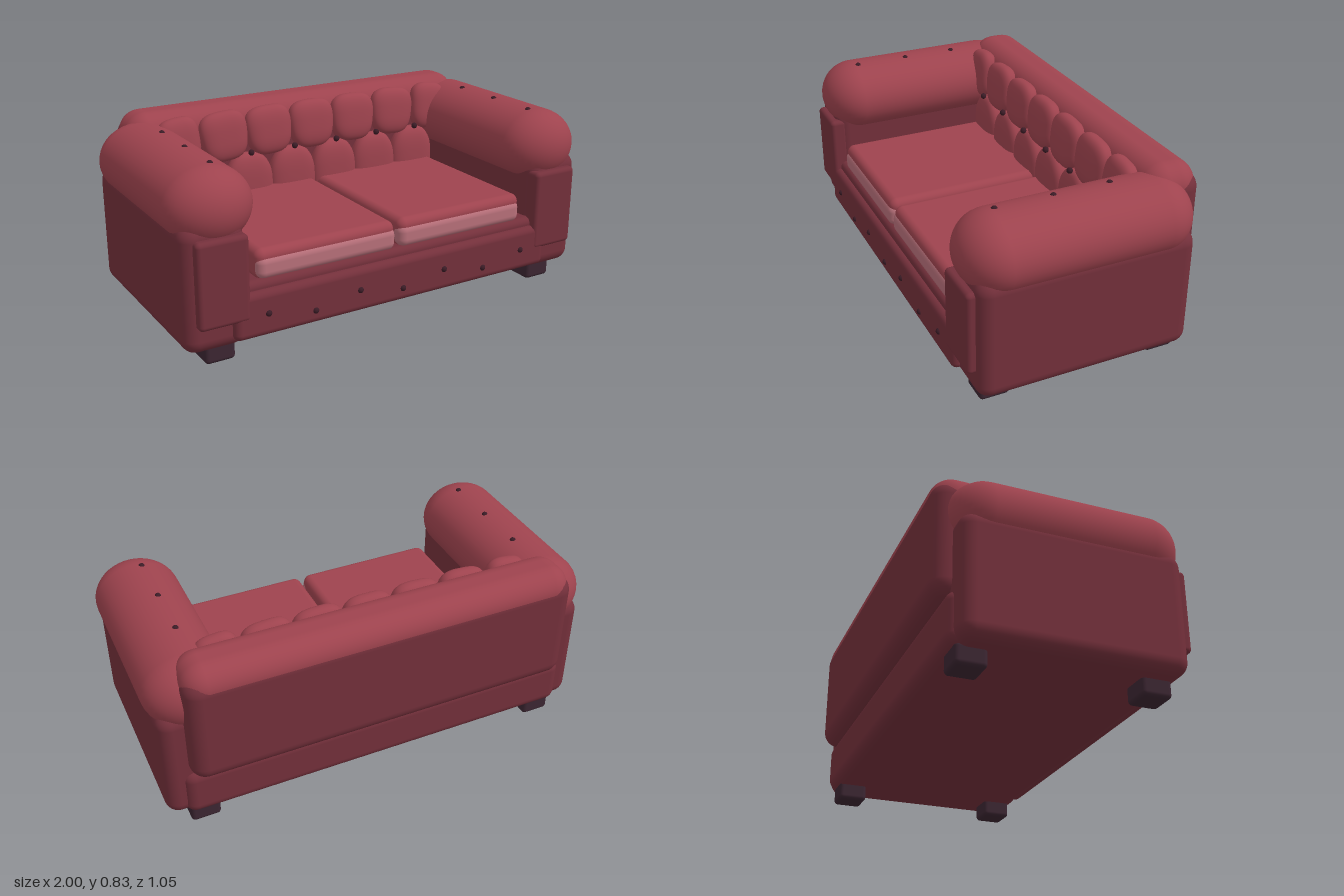
import * as THREE from 'three';
import { RoundedBoxGeometry } from 'three/addons/geometries/RoundedBoxGeometry.js';

const material = (name, color) => {
  const m = new THREE.MeshStandardMaterial({ color });
  m.name = name;
  return m;
};

export function createModel() {
  const leather = material('red leather', 0x9e434e);
  const darkLeather = material('dark red leather', 0x74303b);
  const welt = material('pale cushion edge', 0xb8707a);
  const wood = material('dark wood', 0x3c2632);
  const stud = material('button', 0x3a1c26);

  const sofa = new THREE.Group();
  sofa.name = 'sofa';

  const add = (name, geometry, mat, x = 0, y = 0, z = 0) => {
    const mesh = new THREE.Mesh(geometry, mat);
    mesh.name = name;
    mesh.position.set(x, y, z);
    sofa.add(mesh);
    return mesh;
  };

  // Rounded box given by its [min, max] extents
  const block = (name, mat, [x0, x1], [y0, y1], [z0, z1], r) =>
    add(name, new RoundedBoxGeometry(x1 - x0, y1 - y0, z1 - z0, 5, r), mat,
      (x0 + x1) / 2, (y0 + y1) / 2, (z0 + z1) / 2);

  const span = (side, a, b) => (side > 0 ? [a, b] : [-b, -a]);

  // Base, seat deck and front rail
  block('base', darkLeather, [-0.9, 0.9], [0.07, 0.3], [-0.475, 0.47], 0.05);
  block('seatDeck', darkLeather, [-0.74, 0.74], [0.2, 0.33], [-0.4, 0.485], 0.03);
  block('frontRail', darkLeather, [-0.78, 0.78], [0.1, 0.295], [0.42, 0.515], 0.03);

  // Back: dark panel with a rolled top
  block('backPanel', darkLeather, [-0.87, 0.87], [0.28, 0.79], [-0.526, -0.295], 0.07);
  block('backRoll', leather, [-0.868, 0.868], [0.6, 0.832], [-0.524, -0.288], 0.095);

  for (const side of [1, -1]) {
    // Arms: body, rolled top and front panel
    block('armBody', darkLeather, span(side, 0.705, 0.975), [0.07, 0.6], [-0.452, 0.485], 0.06);
    block('armFrontPanel', darkLeather, span(side, 0.71, 0.93), [0.185, 0.548], [0.44, 0.518], 0.02);
    const roll = add('armRoll', new THREE.CapsuleGeometry(0.16, 0.675, 12, 40), leather,
      side * 0.815, 0.64, 0.018);
    roll.geometry.rotateX(Math.PI / 2);
    roll.geometry.scale(0.185 / 0.16, 1, 1);

    // Seat cushions with a pale front edge
    block('seatCushion', leather, span(side, 0.01, 0.66), [0.315, 0.448], [-0.27, 0.468], 0.035);
    block('cushionEdge', welt, span(side, 0.008, 0.658), [0.32, 0.422], [0.4, 0.476], 0.035);

    // Feet
    for (const z of [0.378, -0.378])
      block('foot', wood, span(side, 0.75, 0.88), [0, 0.09], [z - 0.065, z + 0.065], 0.018);
  }

  // Tufts: squared-off ellipsoids whose width follows a taper along the height
  const soften = (v, p) => Math.sign(v) * Math.abs(v) ** p;
  const tuft = (name, x, y, z, rx, ry, rz, taper) => {
    const g = new THREE.SphereGeometry(1, 32, 24);
    const p = g.attributes.position;
    for (let i = 0; i < p.count; i++) {
      const v = soften(p.getY(i), 0.7);
      p.setXYZ(i, soften(p.getX(i), 0.65) * rx * taper(v), v * ry, soften(p.getZ(i), 0.8) * rz);
    }
    g.computeVertexNormals();
    return add(name, g, leather, x, y, z);
  };
  const pitch = 0.223;
  for (let i = -3; i <= 3; i++) {
    const outer = Math.abs(i) === 3;
    const t = tuft('upperTuft', i * pitch * (outer ? 0.985 : 1), 0.7, -0.272,
      outer ? 0.098 : 0.116, 0.113, 0.048, (v) => 0.97 + 0.07 * v);
    t.rotation.set(-0.1, 0, -0.04 * i);
  }
  for (let i = -2.5; i <= 2.5; i++)
    tuft('lowerTuft', i * pitch, 0.46, -0.262, 0.118, 0.152, 0.05,
      (v) => 1 - 0.22 * Math.max(0, v) ** 2);

  // Buttons on the back, front rail and arms
  const button = (x, y, z) => add('button', new THREE.SphereGeometry(0.014, 14, 10), stud, x, y, z);
  for (let i = -2.5; i <= 2.5; i++) button(i * pitch, 0.618, -0.226);
  for (let i = -3; i <= 3; i++) button(i * 0.212, i % 2 ? 0.2 : 0.16, 0.512);
  for (const side of [1, -1])
    for (const z of [-0.146, 0.097, 0.341]) button(side * 0.785, 0.792, z);

  return sofa;
}
